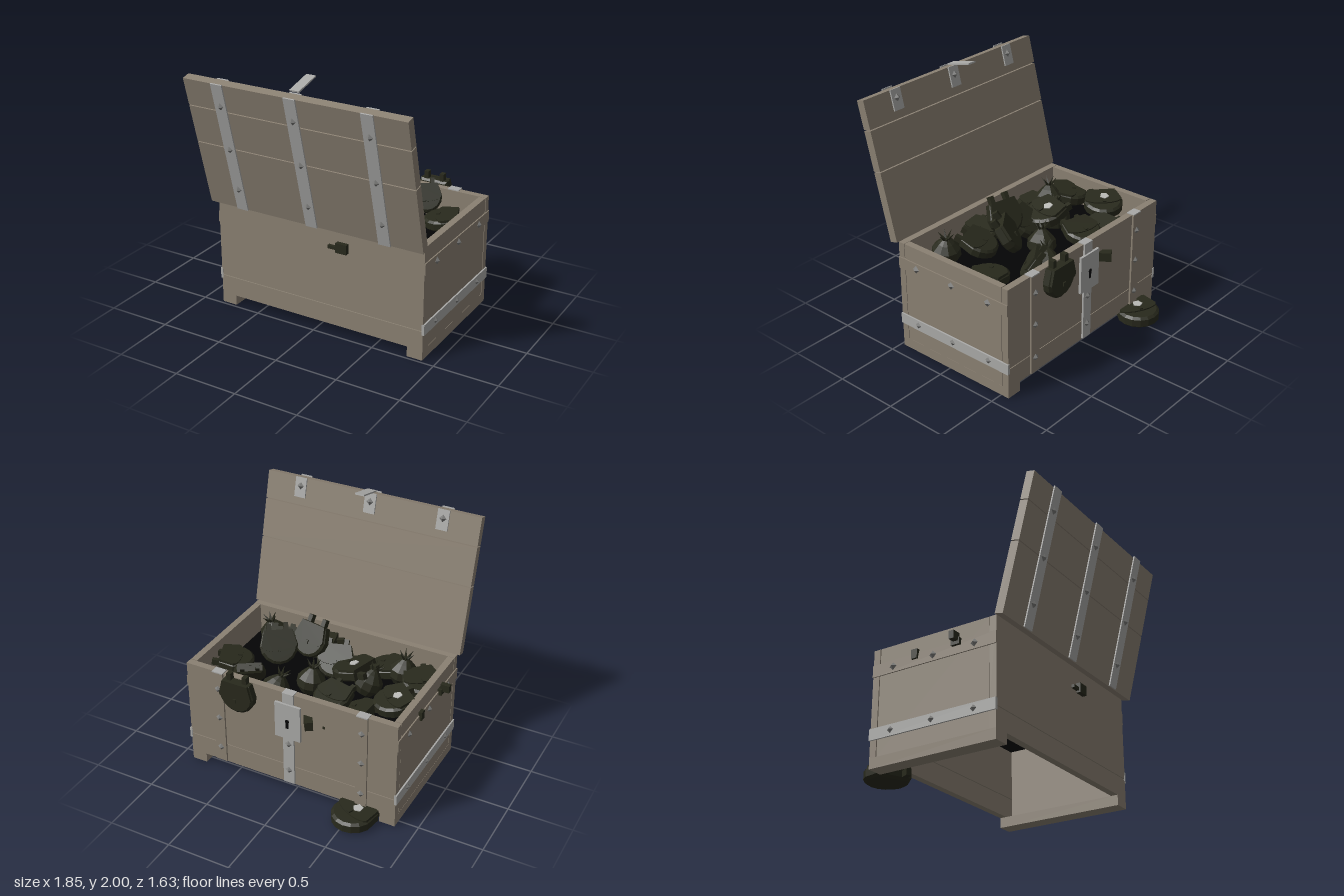
import * as THREE from 'three';

const mat = (name, color) => {
  const m = new THREE.MeshStandardMaterial({ color, flatShading: true });
  m.name = name;
  return m;
};

export function createModel() {
  const root = new THREE.Group();
  root.name = 'openChest';
  const wood = mat('wood', 0x8a8072);
  const metal = mat('metal', 0xa9a9a7);
  const boltMetal = mat('boltMetal', 0x7c7c7a);
  const leather = mat('leather', 0x28291c);
  const black = mat('black', 0x040405);
  const pale = mat('paleMetal', 0xb9b9b5);

  const add = (parent, name, geo, material, x = 0, y = 0, z = 0) => {
    const m = new THREE.Mesh(geo, material);
    m.name = name;
    m.position.set(x, y, z);
    parent.add(m);
    return m;
  };
  // Box given by its minimum and maximum on each axis
  const box = (parent, name, material, x0, x1, y0, y1, z0, z1) =>
    add(parent, name, new THREE.BoxGeometry(x1 - x0, y1 - y0, z1 - z0), material,
      (x0 + x1) / 2, (y0 + y1) / 2, (z0 + z1) / 2);
  // Pyramid stud pointing along an axis
  const up = new THREE.Vector3(0, 1, 0);
  const studGeo = new THREE.ConeGeometry(0.03, 0.022, 4);
  const stud = (parent, x, y, z, nx, nz) => {
    const n = new THREE.Vector3(nx, 0, nz);
    const m = add(parent, 'stud', studGeo, boltMetal, x + nx * 0.01, y, z + nz * 0.01);
    m.quaternion.setFromUnitVectors(up, n);
  };
  const strapX = [-0.567, 0.028, 0.622];

  // Chest body: two boards per long wall, seams at slightly different heights
  const body = new THREE.Group();
  body.name = 'chestBody';
  root.add(body);
  for (const [name, z0, z1, seam] of [['hingeWall', 0.42, 0.475, 0.235], ['lockWall', -0.57, -0.515, 0.244]]) {
    box(body, name + 'LowerBoard', wood, -0.84, 0.898, 0.08, seam - 0.003, z0, z1);
    box(body, name + 'UpperBoard', wood, -0.84, 0.898, seam + 0.003, 0.89, z0, z1);
  }
  // End walls with runners, bands and studs
  const cx = 0.029;
  for (const s of [-1, 1]) {
    const xr = (a, b) => (s > 0 ? [cx + a, cx + b] : [cx - b, cx - a]);
    box(body, 'endWall', wood, ...xr(0.815, 0.8675), 0.08, 0.89, -0.509, 0.417);
    box(body, 'runner', wood, ...xr(0.745, 0.869), 0, 0.08, -0.57, 0.475);
    box(body, 'woodBand', wood, ...xr(0.86, 0.877), 0.68, 0.77, -0.57, 0.475);
    box(body, 'metalBand', metal, ...xr(0.86, 0.88), 0.205, 0.29, -0.575, 0.477);
    for (const z of [0.3, -0.045, -0.39]) {
      for (const y of [0.725, 0.25]) stud(body, cx + s * 0.878, y, z, s, 0);
    }
  }
  box(body, 'floor', black, -0.79, 0.845, 0.64, 0.65, -0.515, 0.42);

  // Upright straps and lock on the lock wall
  strapX.forEach((x, i) => {
    const m = i === 1 ? metal : wood;
    box(body, 'uprightStrap', m, x - 0.045, x + 0.045, 0.09, 0.893, -0.585, -0.57);
    box(body, 'strapCap', metal, x - 0.045, x + 0.045, 0.888, 0.897, -0.586, -0.52);
    for (const y of i === 1 ? [0.21, 0.45] : [0.215, 0.49, 0.75]) stud(body, x, y, -0.585, 0, -1);
  });
  box(body, 'lockPlate', metal, -0.08, 0.13, 0.51, 0.81, -0.6, -0.58);
  box(body, 'keyholeSlot', black, 0.015, 0.037, 0.605, 0.665, -0.604, -0.599);
  const hole = add(body, 'keyholeTop', new THREE.CylinderGeometry(0.017, 0.017, 0.005, 8), black, 0.026, 0.665, -0.6015);
  hole.rotation.x = Math.PI / 2;

  // Lid, tilted back on its hinge
  const lid = new THREE.Group();
  lid.name = 'lid';
  lid.position.set(0, 0.89, 0.472);
  lid.rotation.x = 0.248;
  root.add(lid);
  for (const [a, b] of [[0, 0.531], [0.539, 0.841], [0.849, 1.065]]) {
    box(lid, 'lidBoard', wood, -0.86, 0.918, a, b, 0, 0.067);
  }
  for (const x of strapX) {
    const a = x - 0.047, b = x + 0.047;
    box(lid, 'lidStrap', metal, a, b, 0.003, 1.073, 0.072, 0.083);
    box(lid, 'strapEnd', metal, a, b, 0.91, 1.066, -0.012, 0);
    for (const y of [0.185, 0.536, 0.896]) stud(lid, x, y, 0.083, 0, 1);
    stud(lid, x, 1.0, -0.012, 0, -1);
  }
  const hasp = add(root, 'hasp', new THREE.BoxGeometry(0.075, 0.012, 0.22), metal, 0.028, 1.969, 0.635);
  hasp.rotation.x = 0.24;

  // Pouch: D-shaped body, overlapping flap, clasp and two belt loops, facing +z
  const dShape = (r, top, bottom) => {
    const s = new THREE.Shape();
    s.moveTo(-r * 0.78, top);
    for (let i = 0; i <= 8; i++) {
      const t = Math.PI * (1 + i / 8);
      s.lineTo(Math.cos(t) * r, Math.sin(t) * bottom);
    }
    s.lineTo(r * 0.78, top);
    return s;
  };
  const bagGeo = new THREE.ExtrudeGeometry(dShape(0.125, 0.095, 0.125),
    { depth: 0.05, bevelEnabled: true, bevelSize: 0.018, bevelThickness: 0.015, bevelSegments: 1 });
  bagGeo.translate(0, 0, -0.025);
  const flapGeo = new THREE.ExtrudeGeometry(dShape(0.135, 0.117, 0.05), { depth: 0.025, bevelEnabled: false });
  const loopGeo = new THREE.BoxGeometry(0.035, 0.07, 0.045);
  const claspGeo = new THREE.BoxGeometry(0.025, 0.03, 0.012);
  const pouch = (x, y, z, yaw, pitch, scale = 1, patch = false) => {
    const g = new THREE.Group();
    g.name = 'pouch';
    add(g, 'pouchBody', bagGeo, leather);
    add(g, 'pouchFlap', flapGeo, leather, 0, 0, 0.024);
    add(g, 'pouchClasp', claspGeo, leather, 0, -0.03, 0.053);
    for (const s of [-1, 1]) add(g, 'beltLoop', loopGeo, leather, s * 0.065, 0.135, -0.005);
    if (patch) {
      const p = add(g, 'palePatch', new THREE.CylinderGeometry(0.035, 0.035, 0.006, 5), pale, 0.01, 0.03, 0.052);
      p.rotation.x = Math.PI / 2;
    }
    g.rotation.order = 'YXZ';
    g.rotation.set(pitch, yaw, 0);
    g.position.set(x, y, z);
    g.scale.setScalar(scale);
    root.add(g);
  };
  // x, y, z, yaw, pitch, scale, patch
  [
    [-0.64, 0.82, -0.21, 2.4, -1.4, 1.05, true],
    [-0.43, 0.75, -0.35, 1.5, -1.3, 0.95],
    [-0.21, 0.8, -0.34, 2.9, -1.35, 1],
    [0.69, 0.78, -0.22, -1.2, -1.45, 1],
    [0.45, 0.84, -0.41, 0.6, -0.6, 0.85],
    [0.37, 0.94, -0.11, 3.78, -0.6, 1],
    [-0.2, 0.84, 0.01, 1.3, -1.3, 1.1, true],
    [-0.02, 0.82, 0.07, 3.45, -0.9, 1],
    [0.19, 0.95, 0.08, 2.94, -0.55, 1],
    [0.46, 0.83, 0.09, 3.5, -1.2, 1],
    [-0.69, 0.77, 0.17, 3.9, -1.4, 1.05],
    [-0.36, 0.75, 0.27, 1.5, -1.4, 1],
    [0.22, 0.76, 0.29, 1.8, -1.4, 1],
    // One hung on the lock wall, one dropped on the ground
    [0.42, 0.795, -0.625, Math.PI, 0, 1],
    [-0.545, 0.049, -0.65, 2.7, -Math.PI / 2, 1.15, true],
  ].forEach((p) => pouch(...p));

  // Round sacks with a flared, spiked neck
  const sackGeo = new THREE.LatheGeometry(
    [[0, -0.1], [0.07, -0.09], [0.11, -0.03], [0.105, 0.03], [0.06, 0.08], [0.025, 0.11], [0, 0.11]]
      .map(([r, y]) => new THREE.Vector2(r, y)), 10);
  const spikeGeo = new THREE.ConeGeometry(0.017, 0.1, 4).translate(0, 0.05, 0);
  for (const [x, y, z, tilt] of [[0.25, 0.75, -0.37, 0.3], [0.06, 0.76, -0.17, 0.1], [-0.33, 0.76, 0.01, 0.3],
    [-0.51, 0.78, 0.23, 0.1], [0.63, 0.78, 0.26, -0.15]]) {
    const g = new THREE.Group();
    g.name = 'sack';
    add(g, 'sackBody', sackGeo, leather);
    for (let i = 0; i < 6; i++) {
      const a = (i / 6) * Math.PI * 2;
      const s = add(g, 'neckSpike', spikeGeo, leather, 0, 0.09, 0);
      s.quaternion.setFromUnitVectors(up, new THREE.Vector3(Math.cos(a), 1.3, Math.sin(a)).normalize());
    }
    g.position.set(x, y, z);
    g.rotation.set(tilt, 0, tilt);
    root.add(g);
  }

  // Loop ends poking through the walls
  const loopEnd = (...extent) => box(root, 'loopEnd', leather, ...extent);
  loopEnd(0.2, 0.29, 0.695, 0.77, 0.46, 0.51);
  loopEnd(0.13, 0.2, 0.71, 0.735, 0.46, 0.5);
  loopEnd(-0.87, -0.83, 0.74, 0.79, 0.12, 0.19);
  loopEnd(-0.92, -0.85, 0.765, 0.825, 0.14, 0.18);
  loopEnd(-0.865, -0.83, 0.73, 0.8, -0.22, -0.17);
  loopEnd(-0.27, -0.25, 0.68, 0.7, -0.575, -0.55);
  loopEnd(-0.18, -0.12, 0.68, 0.75, -0.65, -0.55).rotation.y = 0.6;
  return root;
}
